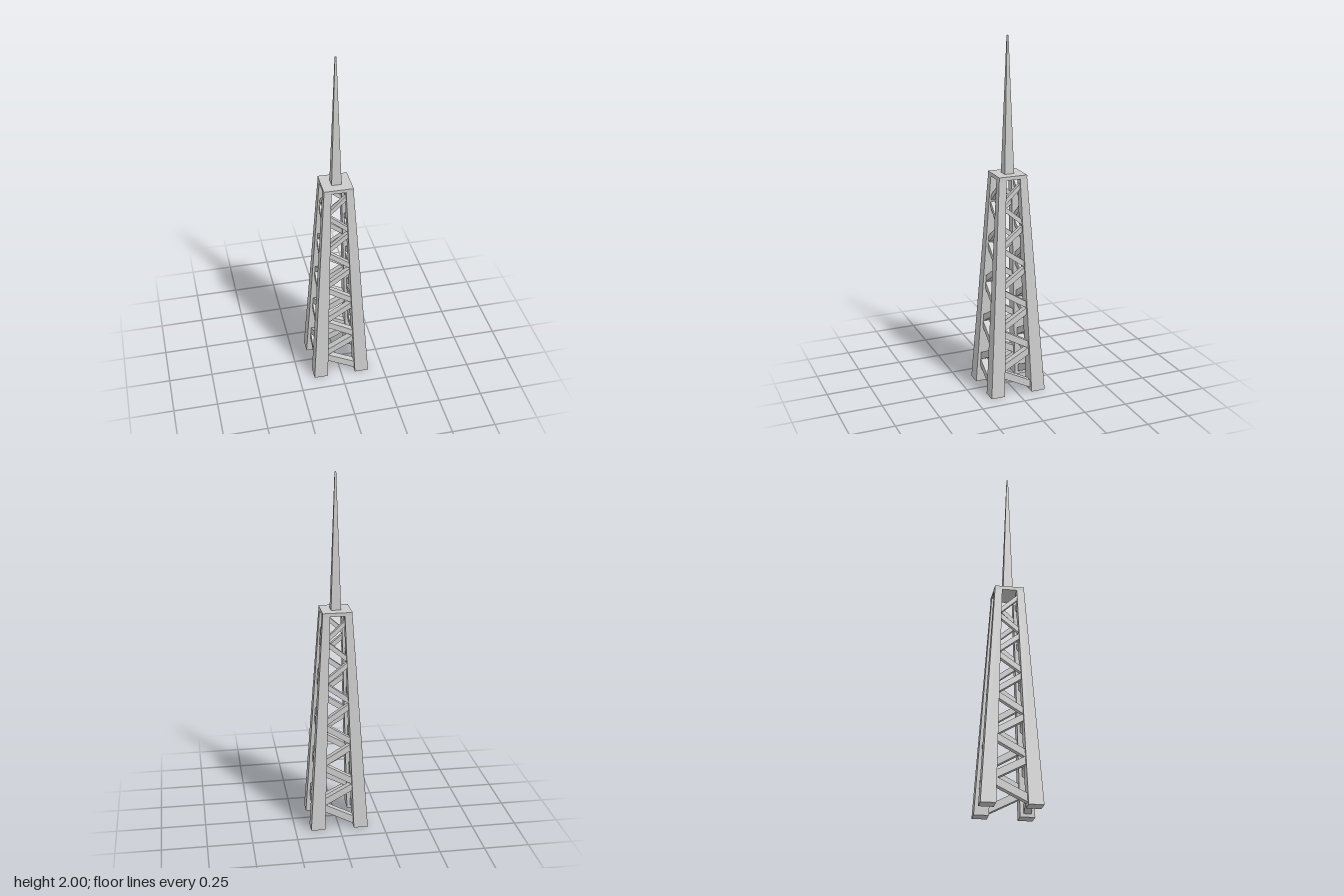
import * as THREE from 'three';

const material = new THREE.MeshStandardMaterial({ color: 0xcccccc, flatShading: true });
const LEG_TOP = 1.235, PLATE_TOP = 1.255;
const BRACES = 10, FIRST_NODE = 0.02, NODE_STEP = 0.119;

const lerp = THREE.MathUtils.lerp;
// Leg centre line and leg width both shrink with height
const legCentre = (y) => lerp(0.122, 0.061, y / LEG_TOP);
const legWidth = (y) => lerp(0.08, 0.041, y / LEG_TOP);

function addMesh(parent, name, geometry) {
  const mesh = new THREE.Mesh(geometry, material);
  mesh.name = name;
  parent.add(mesh);
  return mesh;
}

// Square bar whose width and offset from the axis vary from bottom to top
function taperedBar(y0, y1, width, offset) {
  const geometry = new THREE.BoxGeometry(1, 1, 1);
  const p = geometry.attributes.position;
  for (let i = 0; i < p.count; i++) {
    const y = p.getY(i) < 0 ? y0 : y1;
    p.setXYZ(i, offset(y) + p.getX(i) * width(y), y, offset(y) + p.getZ(i) * width(y));
  }
  geometry.computeVertexNormals();
  return geometry;
}

// Square beam between two points, lying flat against the side's slope
function addBeam(parent, a, b, thickness) {
  const along = b.clone().sub(a);
  const length = along.length();
  along.normalize();
  const across = new THREE.Vector3(0, 0, 1).cross(along).normalize();
  const outward = along.clone().cross(across);
  const beam = addMesh(parent, 'brace', new THREE.BoxGeometry(length, thickness, thickness));
  beam.quaternion.setFromRotationMatrix(new THREE.Matrix4().makeBasis(along, across, outward));
  beam.position.copy(a).add(b).multiplyScalar(0.5);
}

export function createModel() {
  const tower = new THREE.Group();
  tower.name = 'latticeTower';

  // Four sides, each with one corner leg and one zigzag of braces
  for (let side = 0; side < 4; side++) {
    const group = new THREE.Group();
    group.name = 'towerSide';
    group.rotation.y = side * Math.PI / 2;
    tower.add(group);
    addMesh(group, 'leg', taperedBar(0, LEG_TOP, legWidth, legCentre));

    const node = (i) => {
      const y = FIRST_NODE + i * NODE_STEP;
      const c = legCentre(y);
      return new THREE.Vector3(i % 2 ? -c : c, y, c);
    };
    for (let i = 0; i < BRACES; i++) {
      const a = node(i), b = node(i + 1);
      addBeam(group, a, b, 0.52 * legWidth((a.y + b.y) / 2));
    }
  }

  // Platform joining the legs
  const plate = addMesh(tower, 'platform', new THREE.BoxGeometry(0.163, PLATE_TOP - LEG_TOP, 0.163));
  plate.position.y = (PLATE_TOP + LEG_TOP) / 2;

  // Slender four-sided spire
  const spireWidth = (y) => lerp(0.055, 0.008, (y - PLATE_TOP) / (2 - PLATE_TOP));
  addMesh(tower, 'spire', taperedBar(PLATE_TOP, 2, spireWidth, () => 0));

  return tower;
}
